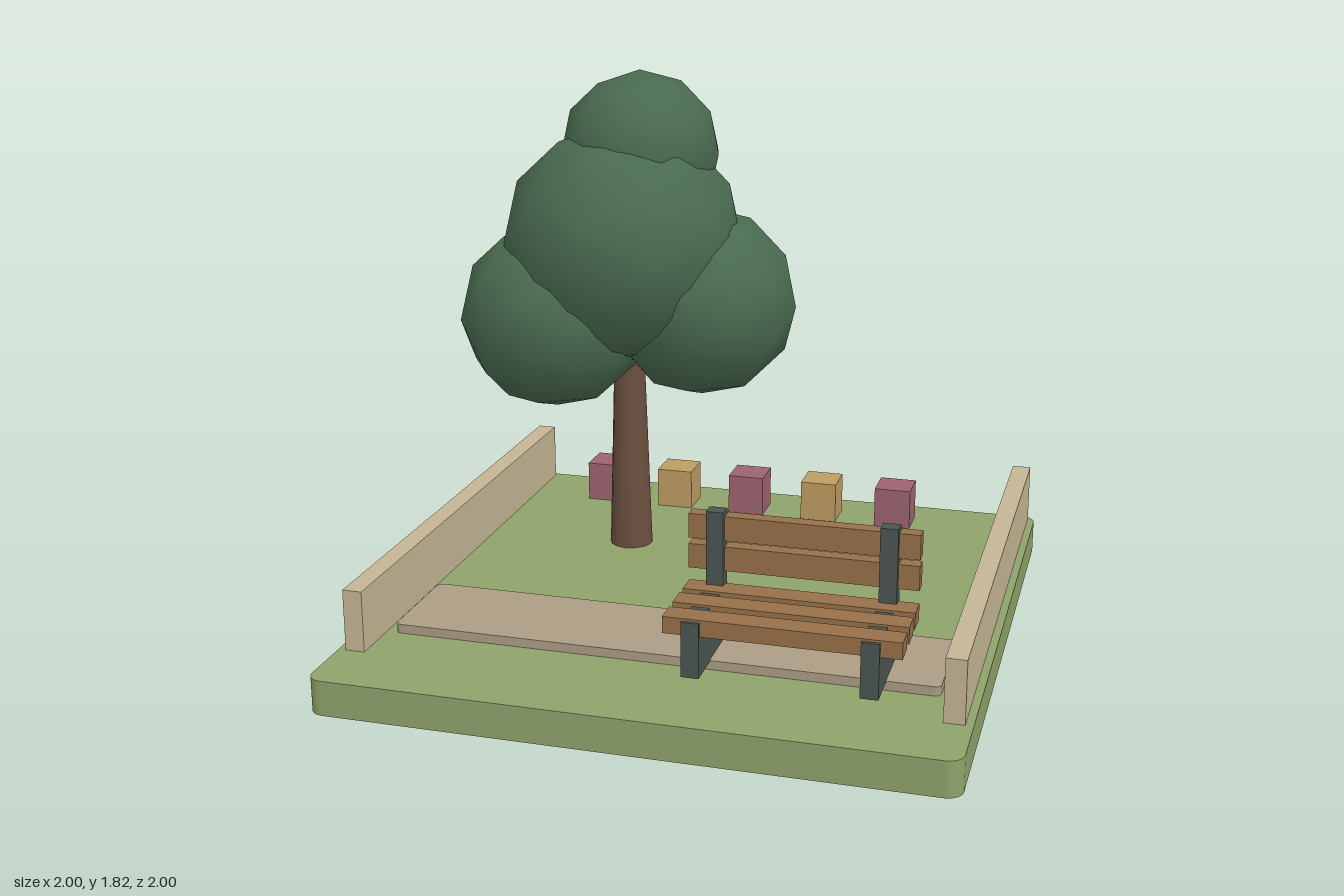
import * as THREE from 'three';

const mat = (color) => new THREE.MeshStandardMaterial({ color });
const grass = mat(0x8fa36b), stone = mat(0xc4b594), paving = mat(0xac9d84);
const bark = mat(0x6b4f3f), leaf = mat(0x4a6b50), wood = mat(0x96714a);
const iron = mat(0x4a5550), rose = mat(0x9c6470), ochre = mat(0xbd9d62);

function add(parent, name, geometry, material, x = 0, y = 0, z = 0) {
  const mesh = new THREE.Mesh(geometry, material);
  mesh.name = name;
  mesh.position.set(x, y, z);
  parent.add(mesh);
  return mesh;
}

// Box given by its limits on each axis
function box(parent, name, material, [x0, x1], [y0, y1], [z0, z1]) {
  return add(parent, name, new THREE.BoxGeometry(x1 - x0, y1 - y0, z1 - z0), material,
    (x0 + x1) / 2, (y0 + y1) / 2, (z0 + z1) / 2);
}

// Flat slab with rounded corners in plan, its underside at y = 0
function slab(w, d, h, r) {
  const s = new THREE.Shape();
  const a = w / 2, b = d / 2;
  s.absarc(a - r, b - r, r, 0, Math.PI / 2);
  s.absarc(-a + r, b - r, r, Math.PI / 2, Math.PI);
  s.absarc(-a + r, -b + r, r, Math.PI, Math.PI * 1.5);
  s.absarc(a - r, -b + r, r, Math.PI * 1.5, Math.PI * 2);
  s.closePath();
  const g = new THREE.ExtrudeGeometry(s, { depth: h, bevelEnabled: false, curveSegments: 5 });
  return g.rotateX(-Math.PI / 2);
}

function createTree() {
  const tree = new THREE.Group();
  tree.name = 'tree';
  add(tree, 'trunk', new THREE.CylinderGeometry(0.051, 0.076, 0.785, 14), bark, -0.395, 0.5075, -0.37);

  // Leaf clumps: name, radius, centre; one vertex of each points along x
  const clumps = [
    ['mainCrown', 0.428, -0.412, 1.22, -0.372],
    ['topCrown', 0.281, -0.367, 1.535, -0.435],
    ['rightCrown', 0.335, -0.635, 0.975, -0.28],
    ['leftCrown', 0.337, -0.143, 1.017, -0.425],
  ];
  for (const [name, r, x, y, z] of clumps) {
    const g = new THREE.IcosahedronGeometry(r, 1).rotateY(Math.atan(2 / (1 + Math.sqrt(5))));
    add(tree, name, g, leaf, x, y, z);
  }
  return tree;
}

function createBench() {
  const bench = new THREE.Group();
  bench.name = 'bench';
  const span = [0.05, 0.78];
  // Seat and backrest slats
  for (const z of [0.459, 0.569, 0.683]) box(bench, 'seatSlat', wood, span, [0.272, 0.326], [z - 0.039, z + 0.039]);
  for (const y of [0.41, 0.51]) box(bench, 'backSlat', wood, span, [y - 0.04, y + 0.04], [0.383, 0.43]);
  // Side panels with upright posts
  for (const x of [0.139, 0.686]) {
    const w = [x - 0.028, x + 0.028];
    box(bench, 'leg', iron, w, [0.14, 0.318], [0.392, 0.733]);
    box(bench, 'backPost', iron, w, [0.3, 0.568], [0.398, 0.447]);
  }
  return bench;
}

export function createModel() {
  const model = new THREE.Group();
  model.name = 'parkCorner';

  // Ground and path
  add(model, 'lawn', slab(2, 2, 0.115, 0.05), grass);
  add(model, 'path', slab(1.76, 0.35, 0.035, 0.02), paving, 0, 0.11, 0.433);

  // Low side walls
  for (const s of [-1, 1]) {
    const x = s * 0.943;
    box(model, s > 0 ? 'leftWall' : 'rightWall', stone, [x - 0.032, x + 0.032], [0.11, 0.318], [-0.983, 0.773]);
  }

  // Row of planters along the back
  for (let i = 0; i < 5; i++) {
    const x = -0.625 + i * 0.28;
    box(model, 'planter', i % 2 ? ochre : rose, [x - 0.066, x + 0.066], [0.113, 0.26], [-0.888, -0.756]);
  }

  model.add(createTree(), createBench());
  return model;
}
